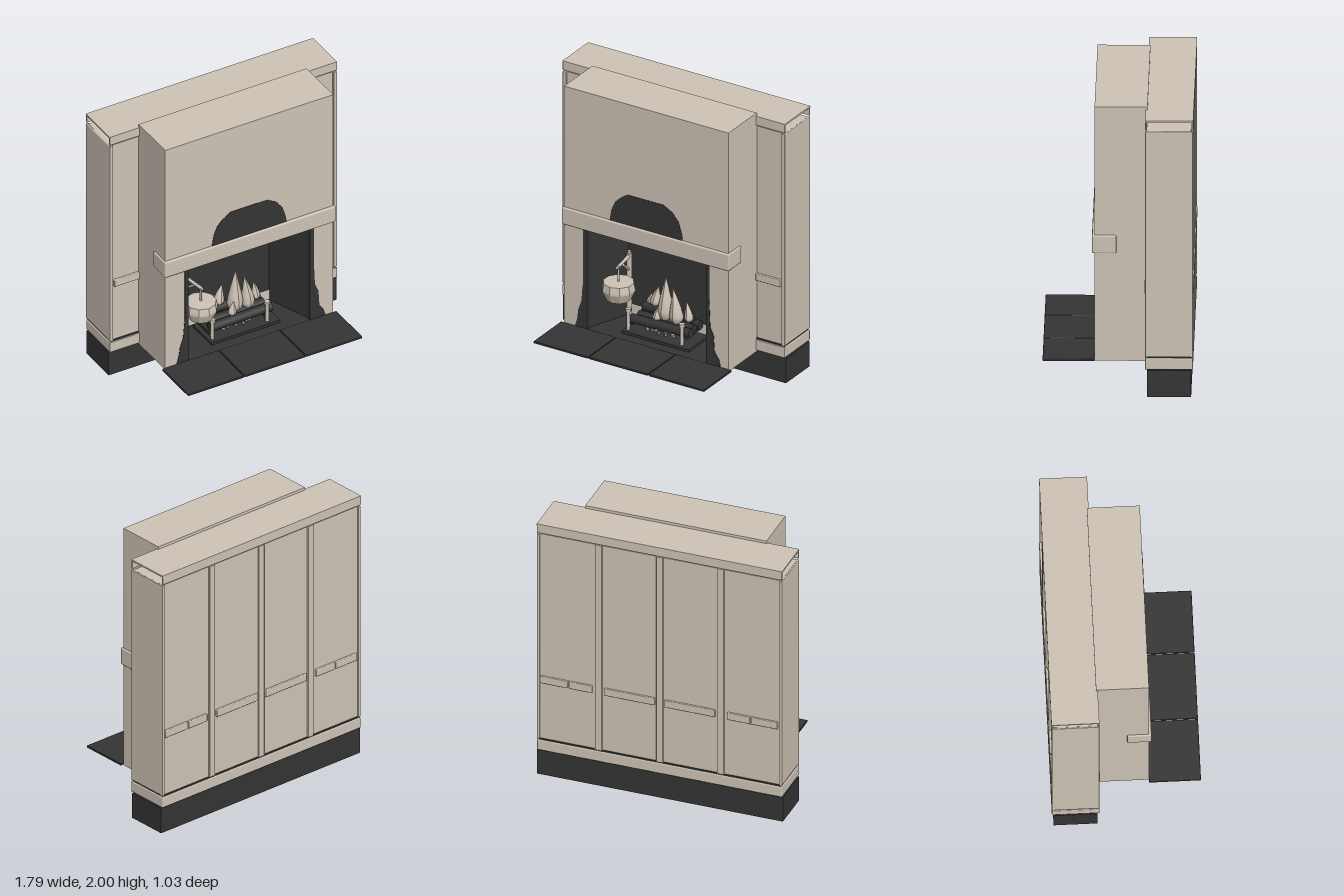
import * as THREE from 'three';
import { RoundedBoxGeometry } from 'three/addons/geometries/RoundedBoxGeometry.js';

export function createModel() {
  const root = new THREE.Group();
  root.name = 'fireplace';

  const material = (name, color) => {
    const m = new THREE.MeshStandardMaterial({ color });
    m.name = name;
    return m;
  };
  const plaster = material('plaster', 0xcdc3b5);
  const charcoal = material('charcoal', 0x343434);
  const lining = material('firebox lining', 0x343434);
  lining.side = THREE.DoubleSide;

  const add = (name, geo, mat, parent = root) => {
    const mesh = new THREE.Mesh(geo, mat);
    mesh.name = name;
    parent.add(mesh);
    return mesh;
  };
  // box given by its min and max on each axis, optionally with rounded edges
  const box = (name, mat, [x0, x1], [y0, y1], [z0, z1], r = 0, parent = root) => {
    const s = [x1 - x0, y1 - y0, z1 - z0];
    const geo = r ? new RoundedBoxGeometry(...s, 1, r) : new THREE.BoxGeometry(...s);
    const mesh = add(name, geo, mat, parent);
    mesh.position.set((x0 + x1) / 2, (y0 + y1) / 2, (z0 + z1) / 2);
    return mesh;
  };
  const group = (name) => {
    const g = new THREE.Group();
    g.name = name;
    root.add(g);
    return g;
  };
  const shapeOf = (pts) => new THREE.Shape(pts.map(([x, y]) => new THREE.Vector2(x, y)));
  // round bar between two points
  const bar = (name, a, b, r, mat, parent, sides = 8) => {
    const p = new THREE.Vector3(...a), q = new THREE.Vector3(...b);
    const d = q.clone().sub(p);
    const mesh = add(name, new THREE.CylinderGeometry(r, r, d.length(), sides), mat, parent);
    mesh.position.copy(p).add(q).multiplyScalar(0.5);
    mesh.quaternion.setFromUnitVectors(new THREE.Vector3(0, 1, 0), d.normalize());
    return mesh;
  };

  // Wall behind the chimney, on its stone base
  const wall = group('wall');
  for (const [a, b] of [[-0.895, -0.363], [-0.363, 0.357], [0.357, 0.895]])
    box('baseBlock', charcoal, [a, b], [0, 0.19], [-0.5, -0.2], 0, wall);
  box('wallCore', plaster, [-0.885, 0.885], [0.288, 1.9], [-0.5, -0.2], 0, wall);
  box('baseGap', charcoal, [-0.885, 0.885], [0.277, 0.288], [-0.505, -0.195], 0, wall);
  box('baseTrim', plaster, [-0.893, 0.893], [0.195, 0.277], [-0.512, -0.188], 0.008, wall);
  // hollow cap with open ends
  box('capTop', plaster, [-0.893, 0.893], [1.968, 1.98], [-0.514, -0.188], 0, wall);
  box('capBackRail', plaster, [-0.893, 0.893], [1.91, 1.98], [-0.514, -0.502], 0.004, wall);
  box('capFrontRail', plaster, [-0.893, 0.893], [1.91, 1.98], [-0.2, -0.188], 0.004, wall);
  for (const s of [-1, 1]) {
    const span = (a, b) => (s > 0 ? [a, b] : [-b, -a]);
    box('endPanel', plaster, span(0.88, 0.893), [0.288, 1.902], [-0.508, -0.192], 0.005, wall);
    box('frontCornerPost', plaster, span(0.865, 0.893), [0.285, 1.9], [-0.21, -0.188], 0.004, wall);
    box('backCornerPost', plaster, span(0.872, 0.893), [0.285, 1.9], [-0.512, -0.49], 0.004, wall);
    box('frontChairRail', plaster, span(0.66, 0.858), [0.727, 0.782], [-0.21, -0.182], 0.006, wall);
    box('frontBaseTrim', plaster, span(0.66, 0.893), [0.195, 0.277], [-0.2, -0.186], 0.005, wall);
  }
  // rear posts and the rail in each bay
  for (const x of [-0.445, 0, 0.445])
    box('rearPost', plaster, [x - 0.025, x + 0.025], [0.285, 1.905], [-0.513, -0.495], 0.005, wall);
  for (const [a, b] of [[-0.86, -0.665], [-0.66, -0.49], [-0.405, -0.035], [0.035, 0.405], [0.49, 0.66], [0.665, 0.87]])
    box('rearChairRail', plaster, [a, b], [0.727, 0.782], [-0.516, -0.495], 0.006, wall);

  // Chimney breast with its opening
  const breast = shapeOf([[-0.66, 0.18], [-0.505, 0.18], [-0.505, 0.96], [0.505, 0.96],
    [0.505, 0.18], [0.66, 0.18], [0.66, 2], [-0.66, 2]]);
  add('chimneyBreast', new THREE.ExtrudeGeometry(breast, { depth: 0.36, bevelEnabled: false }), plaster)
    .position.z = -0.2;
  box('mantel', plaster, [-0.672, 0.672], [0.952, 1.08], [0.012, 0.178], 0.01);

  // Firebox: splayed sides, sloping hood and flat ceiling
  const firebox = group('firebox');
  const face = (name, ...pts) => {
    const idx = [];
    for (let i = 1; i < pts.length - 1; i++) idx.push(0, i, i + 1);
    const indexed = new THREE.BufferGeometry();
    indexed.setAttribute('position', new THREE.Float32BufferAttribute(pts.flat(), 3));
    indexed.setIndex(idx);
    const geo = indexed.toNonIndexed();
    geo.computeVertexNormals();
    add(name, geo, lining, firebox);
  };
  const zb = -0.192, zh = -0.09, zj = 0.12;
  face('fireback', [-0.36, 0.19, zb], [0.36, 0.19, zb], [0.36, 0.78, zb], [-0.36, 0.78, zb]);
  face('hood', [-0.36, 0.78, zb], [0.36, 0.78, zb], [0.4, 0.95, zh], [-0.4, 0.95, zh]);
  face('ceiling', [-0.504, 0.95, zh], [0.504, 0.95, zh], [0.504, 0.95, 0.159], [-0.504, 0.95, 0.159]);
  for (const s of [-1, 1]) {
    const side = [[0.36, 0.19, zb], [0.36, 0.78, zb], [0.4, 0.95, zh], [0.478, 0.95, zj], [0.478, 0.19, zj]]
      .map(([x, y, z]) => [x * s, y, z]);
    face('side', ...(s < 0 ? side : side.reverse()));
    box('jamb', charcoal, s > 0 ? [0.478, 0.507] : [-0.507, -0.478], [0.185, 0.952], [zj - 0.01, 0.161], 0, firebox);
  }
  box('floor', charcoal, [-0.6, 0.6], [0.182, 0.192], [-0.2, 0.165], 0, firebox);

  // Hearth slabs
  for (const [a, b] of [[-0.685, -0.245], [-0.24, 0.235], [0.24, 0.685]])
    box('hearthSlab', charcoal, [a, b], [0.183, 0.199], [0.16, 0.513], 0.004);

  // Soot stains on the breast
  const stains = [
    [[-0.295, 1.07], [0.295, 1.07], [0.285, 1.13], [0.26, 1.21], [0.21, 1.27], [0.14, 1.31],
      [-0.15, 1.31], [-0.21, 1.27], [-0.25, 1.23], [-0.28, 1.16]],
    [[-0.575, 0.19], [-0.5, 0.19], [-0.5, 0.6], [-0.512, 0.5], [-0.52, 0.4], [-0.545, 0.33], [-0.555, 0.25]],
    [[0.5, 0.19], [0.6, 0.19], [0.585, 0.25], [0.55, 0.3], [0.542, 0.42], [0.515, 0.48], [0.505, 0.7], [0.5, 0.7]],
  ];
  for (const pts of stains)
    add('soot', new THREE.ExtrudeGeometry(shapeOf(pts), { depth: 0.004, bevelEnabled: false }), charcoal)
      .position.z = 0.159;

  // Pot on a swinging crane
  const crane = group('potCrane');
  const px = -0.305, pz = 0.03, cx = -0.335, cz = -0.155;
  bar('cranePost', [cx, 0.19, cz], [cx, 0.68, cz], 0.02, plaster, crane);
  bar('craneArm', [cx, 0.66, cz], [px, 0.66, pz + 0.02], 0.012, plaster, crane);
  bar('craneBrace', [cx, 0.55, cz], [px, 0.65, pz - 0.06], 0.009, plaster, crane);
  bar('craneFinial', [cx, 0.68, cz], [cx, 0.7, cz], 0.013, plaster, crane);
  bar('potHook', [px, 0.54, pz], [px, 0.67, pz], 0.008, plaster, crane);
  const pot = [[0, 0.42], [0.085, 0.42], [0.117, 0.49], [0.117, 0.505], [0.108, 0.55], [0, 0.553]]
    .map(([r, y]) => new THREE.Vector2(r, y));
  const potGeo = new THREE.LatheGeometry(pot, 10).toNonIndexed();
  potGeo.computeVertexNormals();
  add('pot', potGeo, plaster, crane).position.set(px, 0, pz);

  // Fire: andirons, logs, embers and flames
  const fire = group('fire');
  box('ashTray', charcoal, [-0.25, 0.29], [0.19, 0.212], [-0.17, 0.08], 0, fire);
  for (const x of [-0.22, 0.21]) {
    bar('andironPost', [x, 0.2, 0.04], [x, 0.355, 0.04], 0.013, plaster, fire);
    bar('andironCap', [x, 0.352, 0.04], [x, 0.372, 0.04], 0.021, plaster, fire);
    box('andironBar', charcoal, [x - 0.012, x + 0.012], [0.235, 0.255], [-0.16, 0.04], 0, fire);
  }
  for (const [x0, x1, y, z] of [[-0.22, 0.26, 0.288, 0.005], [-0.2, 0.24, 0.288, -0.065],
    [-0.21, 0.25, 0.288, -0.135], [-0.18, 0.21, 0.35, -0.1]])
    bar('log', [x0, y - 0.005, z], [x1, y + 0.005, z], 0.034, charcoal, fire, 9);
  for (let i = 0; i < 14; i++)
    add('ember', new THREE.IcosahedronGeometry(0.012 + 0.003 * (i % 3), 0), plaster, fire)
      .position.set(-0.12 + 0.019 * i, 0.222, -0.04 + 0.035 * Math.sin(i * 2.3));
  // flame: tapered lathe whose tip leans sideways
  const flame = (x, z, y0, y1, r, lean) => {
    const h = y1 - y0;
    const profile = [[0.4, 0], [0.9, 0.1], [1, 0.22], [0.8, 0.42], [0.5, 0.64], [0.22, 0.84], [0, 1]]
      .map(([a, b]) => new THREE.Vector2(a * r, b * h));
    const geo = new THREE.LatheGeometry(profile, 10);
    const p = geo.attributes.position;
    for (let i = 0; i < p.count; i++) p.setX(i, p.getX(i) + lean * (p.getY(i) / h) ** 2);
    geo.computeVertexNormals();
    add('flame', geo, plaster, fire).position.set(x, y0, z);
  };
  flame(0.015, -0.06, 0.31, 0.64, 0.058, 0.005);
  flame(0.11, -0.05, 0.31, 0.575, 0.05, -0.03);
  flame(0.19, -0.08, 0.33, 0.485, 0.032, -0.02);
  flame(-0.09, -0.1, 0.37, 0.53, 0.04, 0.03);
  flame(-0.14, -0.11, 0.37, 0.46, 0.025, 0.02);
  flame(-0.03, -0.02, 0.31, 0.42, 0.03, 0.015);

  return root;
}
